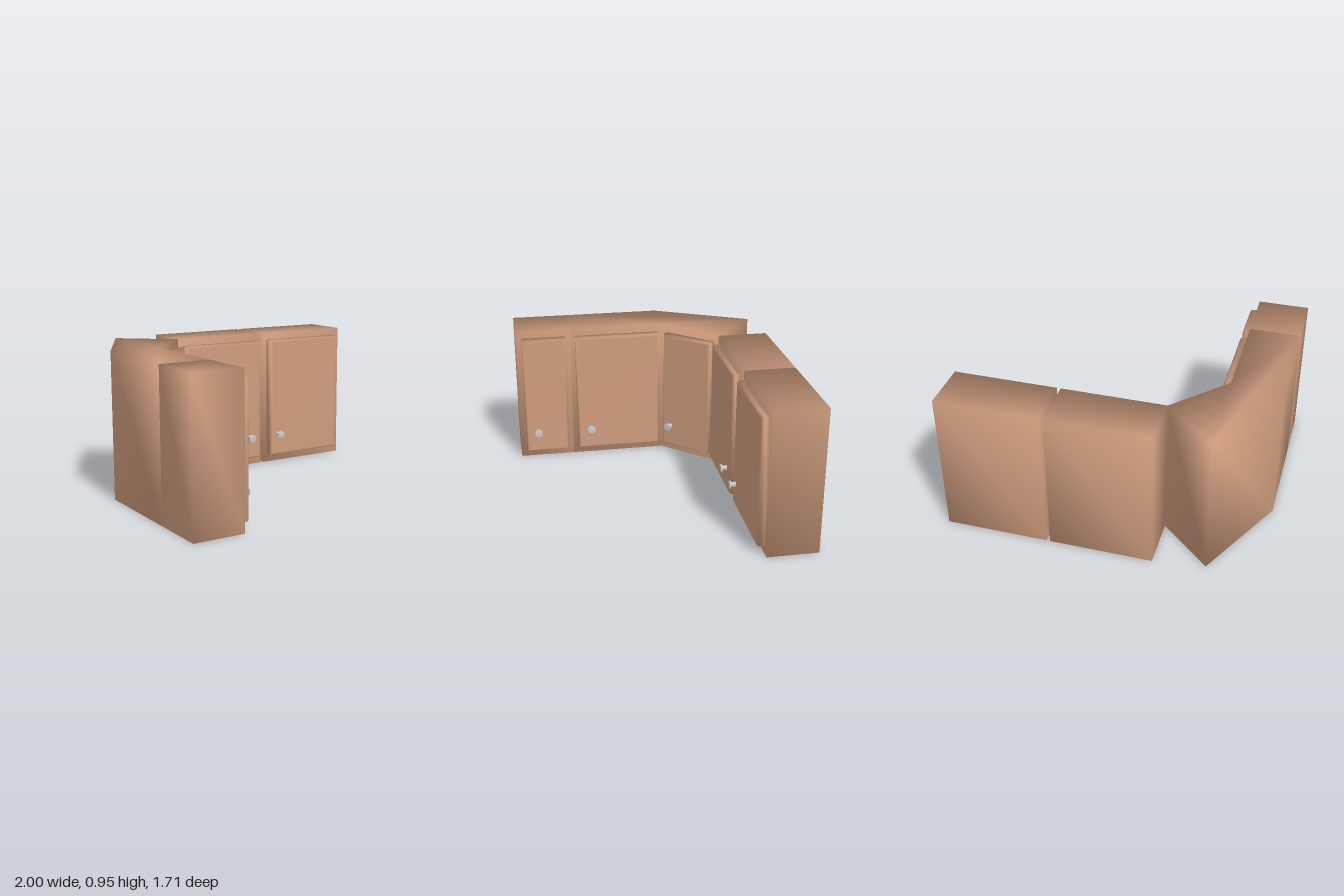
import * as THREE from 'three';
import { mergeVertices } from 'three/addons/utils/BufferGeometryUtils.js';

const HEIGHT = 0.95;
const DOOR = { bottom: 0.055, top: 0.9, depth: 0.055 };
const wood = new THREE.MeshStandardMaterial({ color: 0xcf9d7e });
const metal = new THREE.MeshStandardMaterial({ color: 0xcccccc, flatShading: true });

// Share corners so the shading runs softly over the edges
function soften(geometry) {
  geometry.deleteAttribute('uv');
  geometry.deleteAttribute('normal');
  const welded = mergeVertices(geometry, 1e-4);
  welded.computeVertexNormals();
  return welded;
}

// Cabinet body: a floor outline of [x, z] points raised to full height
function cabinet(name, outline) {
  const shape = new THREE.Shape(outline.map(([x, z]) => new THREE.Vector2(x, -z)));
  const geometry = new THREE.ExtrudeGeometry(shape, { depth: HEIGHT, bevelEnabled: false });
  geometry.rotateX(-Math.PI / 2);
  const mesh = new THREE.Mesh(soften(geometry), wood);
  mesh.name = name;
  return mesh;
}

const rect = (x0, x1, z0, z1) => [[x0, z1], [x1, z1], [x1, z0], [x0, z0]];

// Door slab: rectangular rings stepping in around a rounded front edge
function doorGeometry(width) {
  const rings = [[0, 0], [0, 0.035], [0.003, 0.045], [0.009, 0.052], [0.018, DOOR.depth]];
  const positions = [];
  const index = [];
  for (const [inset, z] of rings) {
    const x = width / 2 - inset;
    const y0 = DOOR.bottom + inset;
    const y1 = DOOR.top - inset;
    positions.push(-x, y0, z, x, y0, z, x, y1, z, -x, y1, z);
  }
  for (let r = 0; r < rings.length - 1; r++) {
    for (let i = 0; i < 4; i++) {
      const a = r * 4 + i;
      const b = r * 4 + (i + 1) % 4;
      index.push(a, b, b + 4, a, b + 4, a + 4);
    }
  }
  const f = (rings.length - 1) * 4;
  index.push(f, f + 1, f + 2, f, f + 2, f + 3, 0, 2, 1, 0, 3, 2);
  const geometry = new THREE.BufferGeometry();
  geometry.setAttribute('position', new THREE.Float32BufferAttribute(positions, 3));
  geometry.setIndex(index);
  geometry.computeVertexNormals();
  return geometry;
}

// Six-sided knob with a narrow stem and a wide head, pointing along +z
const knobProfile = [[0, 0], [0.019, 0], [0.015, 0.022], [0.018, 0.032], [0.03, 0.034], [0.03, 0.042], [0, 0.045]];
const knobGeometry = new THREE.LatheGeometry(knobProfile.map(([r, y]) => new THREE.Vector2(r, y)), 6);
knobGeometry.rotateX(Math.PI / 2);

// Door with its knob, standing on a cabinet face
function door(name, { x, z, turn, width, knobX }) {
  const group = new THREE.Group();
  group.name = name;
  const panel = new THREE.Mesh(doorGeometry(width), wood);
  panel.name = 'doorPanel';
  const knob = new THREE.Mesh(knobGeometry, metal);
  knob.name = 'knob';
  knob.position.set(knobX, 0.21, DOOR.depth);
  group.add(panel, knob);
  group.position.set(x, 0, z);
  group.rotation.y = turn;
  return group;
}

export function createModel() {
  const model = new THREE.Group();
  model.name = 'wallCabinets';

  // Bodies
  model.add(
    cabinet('backCabinet', rect(-0.355, 0.31, -0.857, -0.525)),
    cabinet('backLeftCabinet', rect(0.335, 1, -0.857, -0.525)),
    cabinet('sideCabinet', rect(-1, -0.667, 0.47, 0.85)),
    cabinet('cornerCabinet', [
      [-1, 0.47], [-0.667, 0.47], [-0.667, -0.19], [-0.355, -0.525], [-0.685, -0.815], [-1, -0.19],
    ]),
  );

  // Doors
  const side = Math.PI / 2;
  model.add(
    door('backDoor', { x: -0.02, z: -0.525, turn: 0, width: 0.595, knobX: 0.205 }),
    door('backLeftDoor', { x: 0.66, z: -0.525, turn: 0, width: 0.595, knobX: -0.23 }),
    door('cornerDoor', { x: -0.511, z: -0.3575, turn: Math.atan2(0.335, 0.312), width: 0.385, knobX: -0.125 }),
    door('cornerSideDoor', { x: -0.667, z: 0.14, turn: side, width: 0.595, knobX: -0.205 }),
    door('sideDoor', { x: -0.667, z: 0.66, turn: side, width: 0.305, knobX: -0.065 }),
  );
  return model;
}
